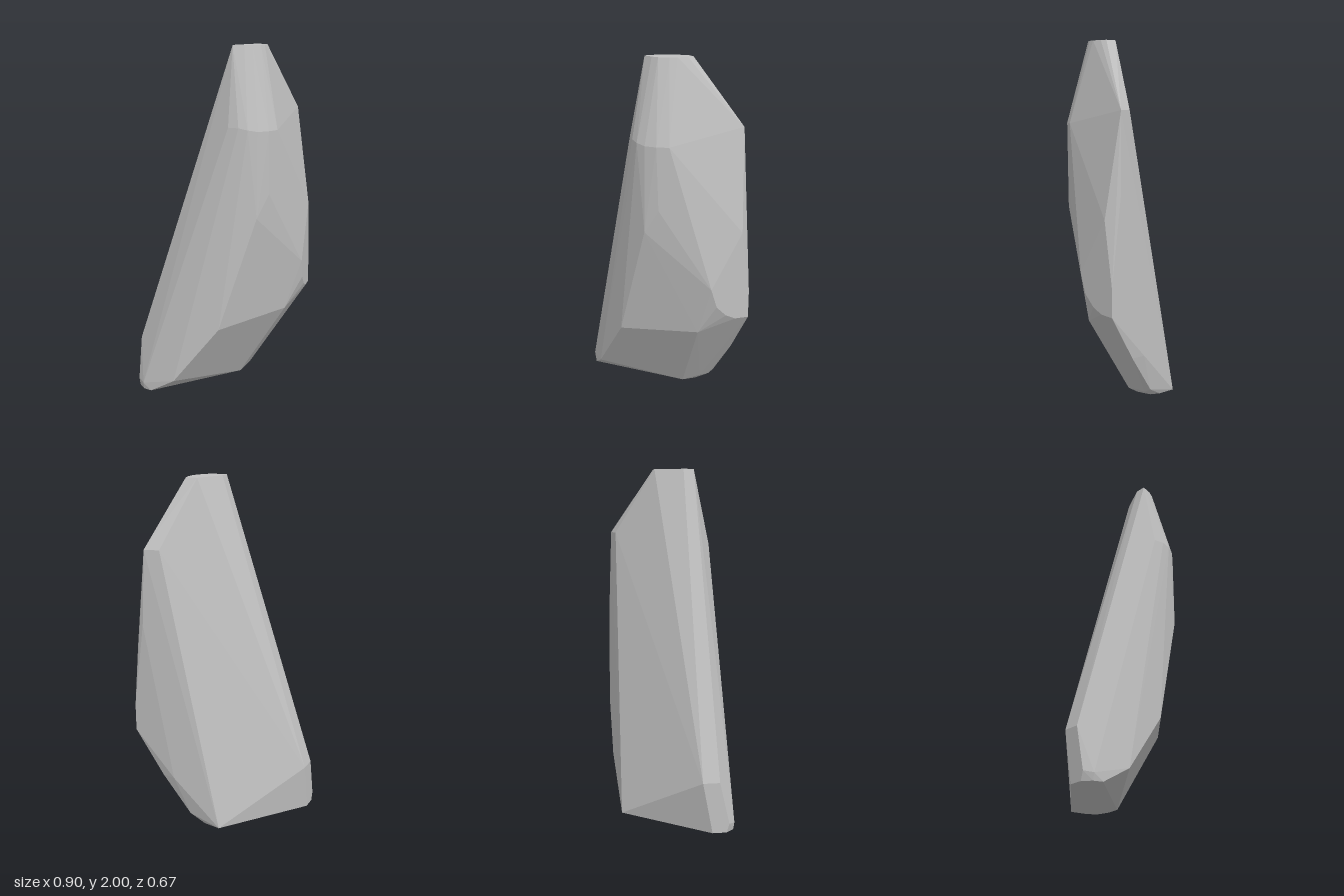
import * as THREE from 'three';
import { ConvexGeometry } from 'three/addons/geometries/ConvexGeometry.js';

// Faceted standing stone: the convex skin around a few rings of corner points
export function createModel() {
  const group = new THREE.Group();
  group.name = 'standingStone';
  const stone = new THREE.MeshStandardMaterial({ color: 0xc0c0c0 });
  stone.name = 'stone grey';

  // each ring: [x, y, z] corners
  const topCap = [
    [0.16, 2, -0.075], [0.23, 2, -0.075], [0.238, 2, -0.04], [0.238, 2, 0.02],
    [0.225, 2, 0.06], [0.19, 2, 0.11], [0.15, 2, 0.13], [0.09, 2, 0.145], [0.086, 2, 0.085],
  ];
  const shoulder = [
    [0.09, 1.57, 0.235], [0.15, 1.57, 0.245], [0.2, 1.56, 0.24], [0.25, 1.55, 0.215],
    [0.3, 1.55, 0.17], [0.335, 1.55, 0.11], [0.365, 1.63, -0.318], [0.28, 1.63, -0.297],
  ];
  const rightSide = [
    [0.25, 1.07, 0.22], [0.305, 1.2, 0.16],
    [0.45, 1.06, -0.28], [0.45, 0.75, -0.095], [0.45, 0.64, -0.13], [0.45, 0.58, -0.19],
    [0.45, 0.55, -0.25], [0.45, 0.545, -0.333], [0.45, 0.7, -0.333],
  ];
  const back = [
    [0.38, 1.2, -0.332], [0.2, 0.28, -0.333], [0.28, 0.28, -0.32], [0.11, 0.05, -0.3],
  ];
  const frontRidge = [
    [0.05, 0.42, 0.29], [0.36, 0.46, -0.06], [-0.21, 0.09, 0.333],
    [-0.45, 0.29, 0.115], [-0.45, 0.29, 0.21], [-0.45, 0.05, 0.265], [-0.41, 0.04, 0.302],
  ];
  const foot = [
    [0.12, 0.03, -0.2], [0.12, 0.03, -0.26], [0.08, 0, -0.1], [0.09, 0, -0.18],
    [0.07, 0, -0.26], [0.02, 0, -0.29], [-0.08, 0, -0.304],
    [-0.45, 0, 0.17], [-0.45, 0, 0.25], [-0.41, 0, 0.295], [-0.36, 0, 0.31],
  ];

  const points = [topCap, shoulder, rightSide, back, frontRidge, foot]
    .flat().map((p) => new THREE.Vector3(...p));
  const body = new THREE.Mesh(new ConvexGeometry(points), stone);
  body.name = 'stoneBody';
  group.add(body);
  return group;
}
